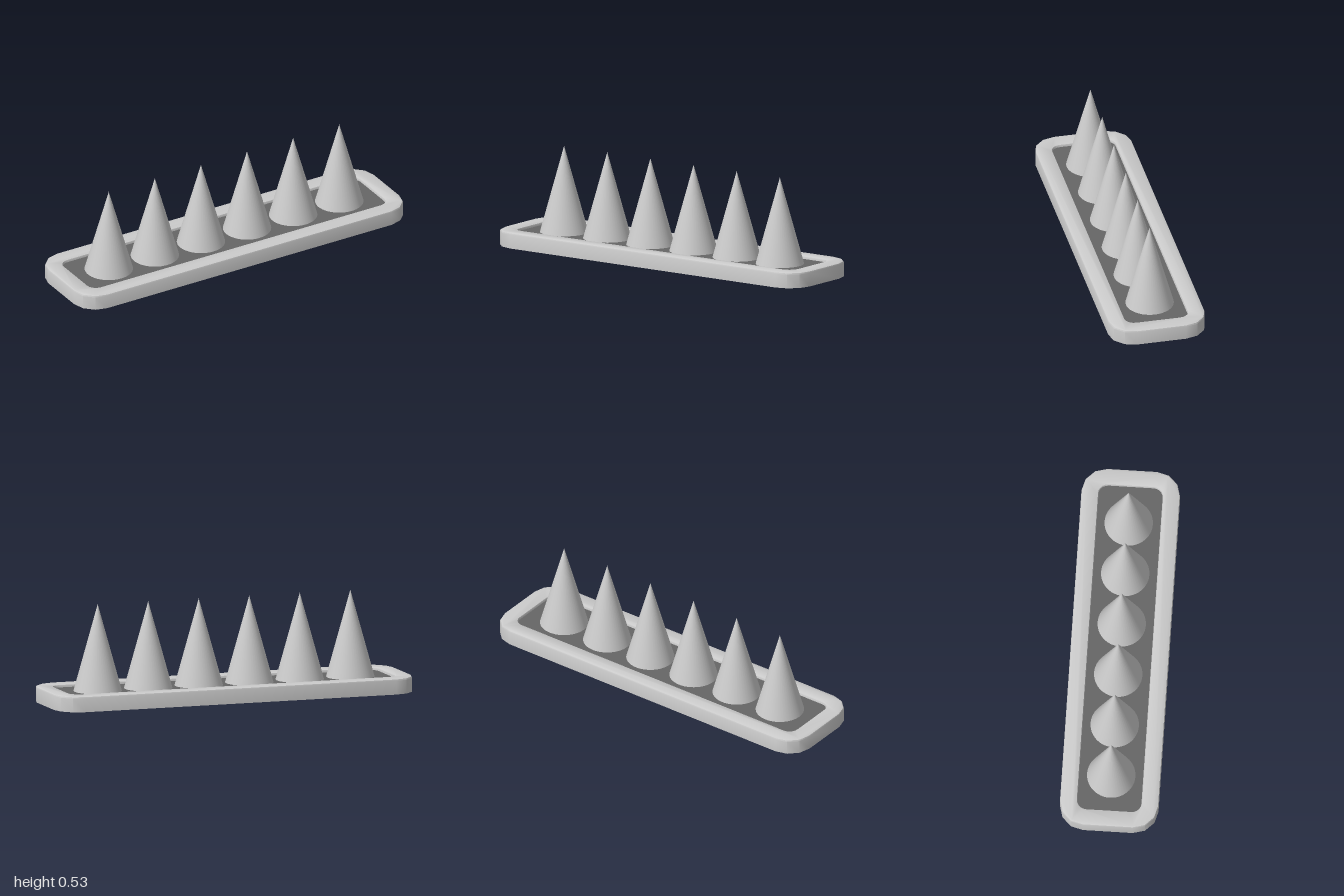
import * as THREE from 'three';
import { toCreasedNormals } from 'three/addons/utils/BufferGeometryUtils.js';

const grey = new THREE.MeshStandardMaterial({ color: 0xcccccc });
const dark = new THREE.MeshStandardMaterial({ color: 0x666666 });

// Rounded rectangle outline, given half sizes, corner radius and segments per corner
function outline(hx, hz, r, segments) {
  const points = [];
  const corners = [[1, 1], [-1, 1], [-1, -1], [1, -1]];
  corners.forEach(([sx, sz], i) => {
    for (let k = 0; k <= segments; k++) {
      const a = (i + k / segments) * Math.PI / 2;
      points.push(new THREE.Vector2(sx * (hx - r) + r * Math.cos(a), sz * (hz - r) + r * Math.sin(a)));
    }
  });
  return points;
}

export function createModel() {
  const group = new THREE.Group();
  const height = 0.083, bevel = 0.01;

  // Rim: open frame with a bevelled top edge and a flat underside
  const rimShape = new THREE.Shape(outline(1 - bevel, 0.26 - bevel, 0.12, 3));
  rimShape.holes.push(new THREE.Path(outline(0.915 + 0.004, 0.175 + 0.004, 0.06, 5)));
  let rimGeo = new THREE.ExtrudeGeometry(rimShape, {
    depth: height - bevel, bevelEnabled: true, bevelThickness: bevel, bevelSize: bevel, bevelSegments: 2,
  });
  rimGeo.rotateX(-Math.PI / 2);
  const pos = rimGeo.attributes.position;
  for (let i = 0; i < pos.count; i++) pos.setY(i, Math.max(0, pos.getY(i)));
  rimGeo = toCreasedNormals(rimGeo, 0.6);
  const rim = new THREE.Mesh(rimGeo, grey);
  rim.name = 'rim';
  group.add(rim);

  // Thin floor plate set inside the rim
  const floorGeo = new THREE.ExtrudeGeometry(new THREE.Shape(outline(0.925, 0.185, 0.06, 5)), {
    depth: 0.012, bevelEnabled: false,
  });
  floorGeo.rotateX(-Math.PI / 2);
  const floor = new THREE.Mesh(floorGeo, dark);
  floor.name = 'floorPlate';
  floor.position.y = 0.056;
  group.add(floor);

  // Row of spikes passing through the floor
  const base = 0.027, tip = 0.53;
  const spikeGeo = new THREE.ConeGeometry(0.139, tip - base, 48);
  for (let i = 0; i < 6; i++) {
    const spike = new THREE.Mesh(spikeGeo, grey);
    spike.name = `spike${i + 1}`;
    spike.position.set((i - 2.5) * 0.283, (base + tip) / 2, 0);
    group.add(spike);
  }
  return group;
}
